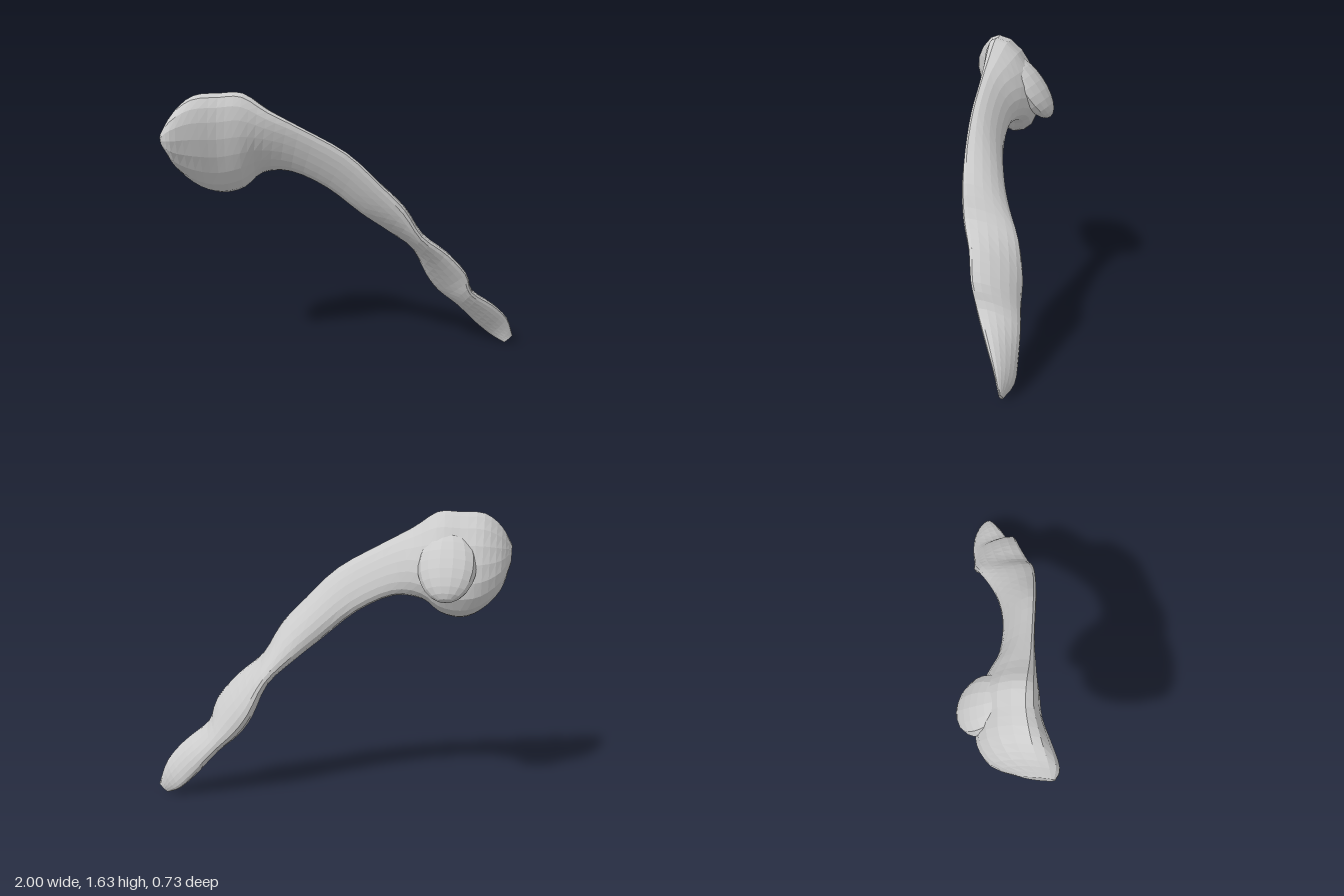
import * as THREE from 'three';

const material = new THREE.MeshStandardMaterial({ color: 0xcccccc, flatShading: true });

// Stations from head to tail: upper edge xyz, lower edge xyz, bulge to front, bulge to back
const stations = [
  [-1.00, 1.42, 0.31, -0.995, 1.32, 0.26, 0.06, 0.10],
  [-0.94, 1.53, 0.25, -0.94, 1.17, 0.15, 0.16, 0.18],
  [-0.84, 1.61, 0.20, -0.83, 1.06, 0.10, 0.16, 0.22],
  [-0.70, 1.62, 0.16, -0.72, 1.02, 0.06, 0.13, 0.20],
  [-0.57, 1.62, 0.15, -0.60, 1.05, 0.04, 0.11, 0.20],
  [-0.43, 1.53, 0.15, -0.50, 1.13, 0.00, 0.08, 0.14],
  [-0.25, 1.435, 0.14, -0.33, 1.145, 0.01, 0.05, 0.08],
  [0.01, 1.29, 0.12, -0.12, 1.05, 0.00, 0.05, 0.075],
  [0.20, 1.11, 0.10, 0.08, 0.89, -0.03, 0.05, 0.11],
  [0.34, 0.96, 0.06, 0.23, 0.77, -0.11, 0.08, 0.11],
  [0.44, 0.79, 0.02, 0.37, 0.64, -0.20, 0.09, 0.12],
  [0.58, 0.67, -0.04, 0.45, 0.46, -0.25, 0.07, 0.11],
  [0.70, 0.53, -0.08, 0.53, 0.35, -0.26, 0.05, 0.11],
  [0.74, 0.40, -0.13, 0.65, 0.25, -0.29, 0.06, 0.10],
  [0.87, 0.29, -0.21, 0.76, 0.13, -0.32, 0.05, 0.07],
  [0.96, 0.18, -0.27, 0.86, 0.04, -0.34, 0.03, 0.04],
  [1.00, 0.05, -0.31, 0.95, 0.00, -0.31, 0.01, 0.01],
];

// Smooth curve through three columns of the station table
const curveOf = (pick) => new THREE.CatmullRomCurve3(
  stations.map((s) => new THREE.Vector3(...pick(s))), false, 'catmullrom', 0.5);

function loftGeometry(rings, sides) {
  const upper = curveOf((s) => s.slice(0, 3));
  const lower = curveOf((s) => s.slice(3, 6));
  const bulge = curveOf((s) => [s[6], s[7], 0]);
  const pos = [], index = [];
  for (let i = 0; i <= rings; i++) {
    const t = i / rings;
    const top = upper.getPoint(t), low = lower.getPoint(t), b = bulge.getPoint(t);
    const mid = top.clone().add(low).multiplyScalar(0.5);
    const half = top.clone().sub(mid);
    for (let j = 0; j < sides; j++) {
      const a = (j / sides) * Math.PI * 2;
      const s = Math.sin(a);
      const p = mid.clone().addScaledVector(half, Math.cos(a));
      p.z += s * (s > 0 ? b.x : b.y);
      // The thick back of the head sags
      if (s < 0) p.y -= s * s * 0.5 * Math.max(0, b.y - 0.12);
      pos.push(p.x, p.y, p.z);
    }
  }
  for (let i = 0; i < rings; i++) {
    for (let j = 0; j < sides; j++) {
      const a = i * sides + j, b = i * sides + (j + 1) % sides;
      index.push(a, b, a + sides, b, b + sides, a + sides);
    }
  }
  // End caps
  const last = rings * sides;
  for (let j = 1; j < sides - 1; j++) {
    index.push(0, j + 1, j, last, last + j, last + j + 1);
  }
  const g = new THREE.BufferGeometry();
  g.setAttribute('position', new THREE.Float32BufferAttribute(pos, 3));
  g.setIndex(index);
  g.computeVertexNormals();
  return g;
}

// Long lobe that runs down the back of the head and hangs over its underside
function lobeGeometry() {
  const g = new THREE.SphereGeometry(1, 14, 12);
  g.scale(0.165, 0.23, 0.09);
  g.rotateX(0.62);
  g.translate(-0.64, 1.325, -0.06);
  return g;
}

export function createModel() {
  const group = new THREE.Group();
  group.name = 'organ';
  const add = (name, geometry) => {
    const mesh = new THREE.Mesh(geometry, material);
    mesh.name = name;
    group.add(mesh);
  };
  add('headBodyAndTail', loftGeometry(48, 18));
  add('backLobe', lobeGeometry());
  return group;
}
